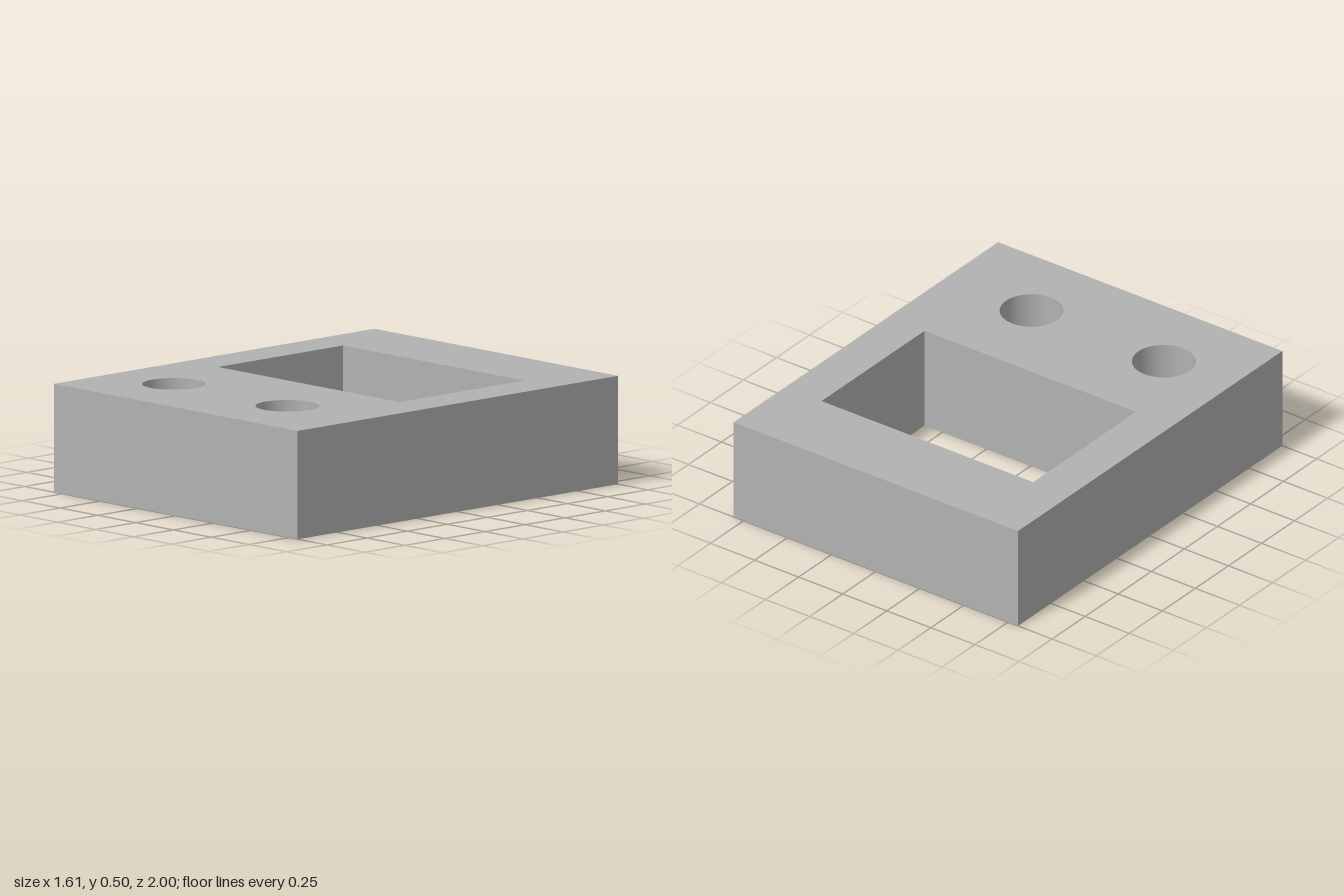
import * as THREE from 'three';

const W = 0.806, D = 1, H = 0.5;                           // half width, half depth, height
const WINDOW = { x: 0.6, back: -0.61, front: 0.17 };
const HOLES = [[-0.43, 0.605], [0.32, 0.605]];
const BORE = 0.145, SINK = 0.267, SINK_H = 0.122;

const rect = (PathType, x, z0, z1, s) => new PathType([
  [-x, z0], [x, z0], [x, z1], [-x, z1],
].map(([px, pz]) => new THREE.Vector2(px, pz * s)));

export function createModel() {
  const group = new THREE.Group();
  const grey = new THREE.MeshStandardMaterial({ name: 'plain grey', color: 0xb2b2b2 });

  const add = (name, geometry, x = 0, y = 0, z = 0, turn = 0) => {
    const mesh = new THREE.Mesh(geometry, grey);
    mesh.name = name;
    mesh.position.set(x, y, z);
    mesh.rotation.y = turn;
    group.add(mesh);
  };

  // Pierced face, looking up (up = 1) or down (up = -1)
  const face = (name, up, radius, y) => {
    const shape = rect(THREE.Shape, W, -D, D, -up);
    shape.holes.push(rect(THREE.Path, WINDOW.x, WINDOW.back, WINDOW.front, -up));
    for (const [x, z] of HOLES) {
      shape.holes.push(new THREE.Path().absarc(x, -up * z, radius, 0, Math.PI * 2, true));
    }
    add(name, new THREE.ShapeGeometry(shape, 24).rotateX(-up * Math.PI / 2), 0, y, 0);
  };
  face('topFace', 1, BORE, H);
  face('bottomFace', -1, SINK, 0);

  // Four upright walls round a rectangle, facing out (1) or in (-1)
  const walls = (name, halfX, z0, z1, out) => {
    const halfZ = (z1 - z0) / 2, midZ = (z0 + z1) / 2;
    for (let i = 0; i < 4; i++) {
      const side = i % 2 === 1;
      const reach = side ? halfX : halfZ, width = side ? halfZ * 2 : halfX * 2;
      const a = i * Math.PI / 2;
      add(name, new THREE.PlaneGeometry(width, H),
        Math.sin(a) * reach, H / 2, midZ + Math.cos(a) * reach, out > 0 ? a : a + Math.PI);
    }
  };
  walls('outerWall', W, -D, D, 1);
  walls('windowWall', WINDOW.x, WINDOW.back, WINDOW.front, -1);

  // Screw holes: straight bore above a countersink, profiles run downward to face inward
  const lathe = (r0, y0, r1, y1) => new THREE.LatheGeometry(
    [new THREE.Vector2(r0, y0), new THREE.Vector2(r1, y1)], 48);
  for (const [x, z] of HOLES) {
    add('bore', lathe(BORE, H, BORE, SINK_H), x, 0, z);
    add('countersink', lathe(BORE, SINK_H, SINK, 0), x, 0, z);
  }
  return group;
}
